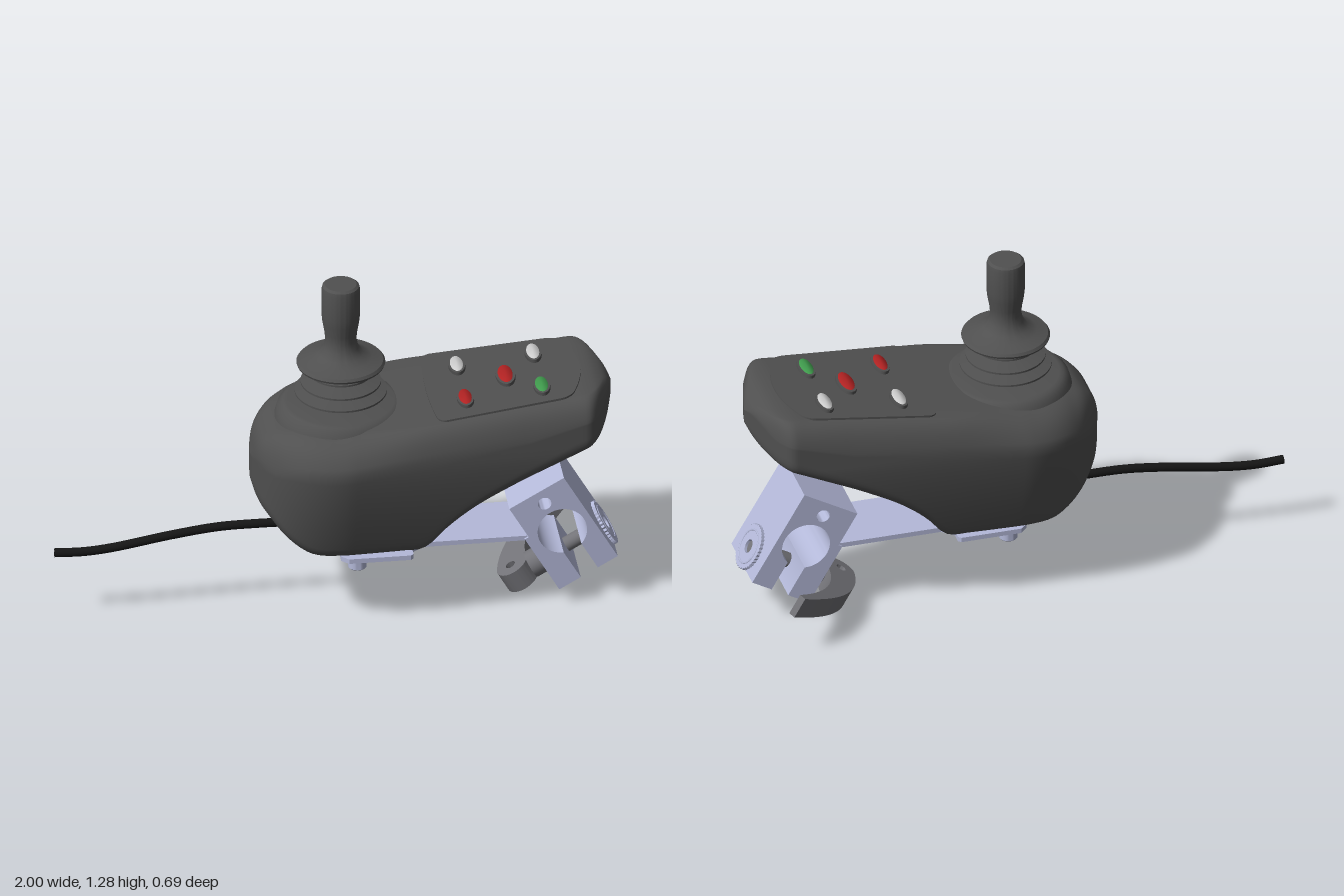
import * as THREE from 'three';
import { mergeVertices, toCreasedNormals } from 'three/addons/utils/BufferGeometryUtils.js';

const mat = (color, side = THREE.FrontSide) => new THREE.MeshStandardMaterial({ color, side });
const DARK = mat(0x505050), METAL = mat(0xb4b9d9), STEEL = mat(0x737378), BLACK = mat(0x161616);
const RED = mat(0xb02222), GREEN = mat(0x3f9a4c), WHITE = mat(0xbcbcbc);
const ZC = 0.02; // centre plane of the controller

function add(parent, name, geometry, material, x = 0, y = 0, z = 0) {
  const mesh = new THREE.Mesh(geometry, material);
  mesh.name = name;
  mesh.position.set(x, y, z);
  parent.add(mesh);
  return mesh;
}
const lathe = (pts, seg = 48) =>
  toCreasedNormals(new THREE.LatheGeometry(pts.map(p => new THREE.Vector2(...p)), seg), 0.6);
const extrude = (shape, depth) => toCreasedNormals(
  new THREE.ExtrudeGeometry(shape, { depth, bevelEnabled: false, curveSegments: 24 }), 0.5);
// extrusion lying flat: shape y becomes -z, depth becomes +y
const flat = (shape, depth) => extrude(shape, depth).rotateX(-Math.PI / 2);
const curve = pts => {
  const f = new THREE.CubicInterpolant(pts.map(p => p[0]), pts.map(p => p[1]), 1);
  return x => f.evaluate(x)[0];
};

// Housing: cross-sections lofted along x
const topY = curve([[-0.305, 0.63], [-0.29, 0.69], [-0.25, 0.745], [-0.18, 0.778], [0, 0.797],
  [0.4, 0.842], [0.8, 0.886], [0.87, 0.893], [0.92, 0.886], [0.96, 0.86], [0.978, 0.83]]);
const bottomY = curve([[-0.305, 0.53], [-0.29, 0.485], [-0.25, 0.43], [-0.2, 0.37], [-0.12, 0.308],
  [-0.08, 0.297], [-0.03, 0.296], [0.22, 0.296], [0.28, 0.298], [0.31, 0.32], [0.36, 0.385],
  [0.45, 0.47], [0.6, 0.565], [0.75, 0.64], [0.88, 0.7], [0.93, 0.722], [0.96, 0.746], [0.978, 0.78]]);
function halfWidth(x) {
  if (x < 0.02) return Math.sqrt(Math.max(0, 0.325 ** 2 - (x - 0.02) ** 2));
  if (x < 0.86) return THREE.MathUtils.mapLinear(x, 0.02, 0.86, 0.325, 0.272);
  return 0.272 * Math.max(0, 1 - ((x - 0.86) / 0.118) ** 2);
}
const taper = y => 1 - 0.31 * (Math.max(0, 0.7 - y) / 0.4) ** 1.5;

function section(x) {
  const W = halfWidth(x), T = topY(x), B = bottomY(x), H = T - B;
  const k = Math.min(1, W / 0.2);
  const bev = THREE.MathUtils.lerp(0.13, 0.07, THREE.MathUtils.smoothstep(x, -0.05, 0.3));
  const bx = Math.min(bev, W * 0.5), by = Math.min(0.11, H * 0.4) * k, r = Math.min(0.05, H * 0.3);
  const half = [];
  const line = (z0, y0, z1, y1, n) => {
    for (let i = 0; i < n; i++) half.push([z0 + (z1 - z0) * i / n, y0 + (y1 - y0) * i / n]);
  };
  const corner = (a, c, b, n) => {
    const q = new THREE.QuadraticBezierCurve(...[a, c, b].map(p => new THREE.Vector2(...p)));
    for (let i = 0; i < n; i++) half.push(q.getPoint(i / n).toArray());
  };
  const wAt = y => W * taper(y);
  const sideTop = T - by, sideBottom = B + r, wB = wAt(B);
  line(0, T, W - bx, T, 4);
  corner([W - bx, T], [W - bx * 0.25, T - by * 0.1], [wAt(sideTop), sideTop], 8);
  for (let i = 0; i < 10; i++) {
    const y = THREE.MathUtils.lerp(sideTop, sideBottom, i / 10);
    half.push([wAt(y), y]);
  }
  const inner = Math.max(wB - r, wB * 0.5);
  corner([wAt(sideBottom), sideBottom], [wB, B], [inner, B], 8);
  line(inner, B, 0, B, 4);
  half.push([0, B]);
  return [...half, ...half.slice(1, -1).reverse().map(([z, y]) => [-z, y])];
}
function housingGeometry() {
  const n = 90, pos = [], idx = [];
  let m = 0;
  for (let i = 0; i <= n; i++) {
    const x = 0.3365 - 0.6415 * Math.cos(Math.PI * i / n);
    const ring = section(x);
    m = ring.length;
    ring.forEach(([z, y]) => pos.push(x, y, z));
  }
  for (let i = 0; i < n; i++) for (let j = 0; j < m; j++) {
    const a = i * m + j, b = i * m + (j + 1) % m;
    idx.push(a, b, a + m, b, b + m, a + m);
  }
  const g = new THREE.BufferGeometry();
  g.setAttribute('position', new THREE.Float32BufferAttribute(pos, 3));
  g.setIndex(idx);
  const merged = mergeVertices(g, 1e-4);
  merged.computeVertexNormals();
  return merged;
}

// Keypad plate and oval buttons, lying on the sloped top
function keypad() {
  const g = new THREE.Group();
  g.name = 'keypad';
  g.position.set(0, 0.797, ZC);
  g.rotation.z = 0.111;
  const s = new THREE.Shape();
  s.moveTo(0.37, -0.238);
  s.lineTo(0.78, -0.215);
  s.quadraticCurveTo(0.82, -0.21, 0.835, -0.17);
  s.quadraticCurveTo(0.91, 0, 0.835, 0.17);
  s.quadraticCurveTo(0.82, 0.21, 0.78, 0.215);
  s.lineTo(0.37, 0.238);
  s.quadraticCurveTo(0.34, 0.238, 0.335, 0.2);
  s.quadraticCurveTo(0.31, 0, 0.335, -0.2);
  s.quadraticCurveTo(0.34, -0.238, 0.37, -0.238);
  add(g, 'keypadPlate', flat(s, 0.016), DARK, 0, -0.01, 0);
  const buttons = [[0.45, -0.12, WHITE, 1], [0.723, -0.12, WHITE, 1], [0.608, 0.003, RED, 1.15],
    [0.45, 0.115, RED, 1], [0.723, 0.115, GREEN, 1]];
  for (const [x, z, m, k] of buttons) {
    add(g, 'buttonRim', new THREE.CylinderGeometry(1, 1, 0.02, 40), DARK, x, 0.008, z).scale.set(0.03 * k, 1, 0.064 * k);
    add(g, 'button', lathe([[1, 0], [1, 0.014], [0.85, 0.019], [0, 0.021]], 40), m, x, 0.002, z).scale.set(0.024 * k, 1, 0.056 * k);
  }
  return g;
}

// Tilted tube clamp with screw, knurled nut and cam lever
function clamp() {
  const g = new THREE.Group();
  g.name = 'clamp';
  g.position.set(0.788, 0.305, 0.024);
  g.rotation.z = Math.PI / 6;
  const R = 0.088, D = 0.266, V = -0.13;
  const s = new THREE.Shape();
  s.moveTo(-0.112, -0.2);
  s.lineTo(-0.04, -0.2);
  s.lineTo(-0.04, -0.0784);
  s.absarc(0, 0, R, Math.atan2(-0.0784, -0.04), Math.atan2(-0.0827, 0.03), true);
  s.lineTo(0.03, -0.2);
  s.lineTo(0.112, -0.2);
  s.lineTo(0.112, 0.183);
  s.lineTo(-0.112, 0.183);
  s.closePath();
  s.holes.push(new THREE.Path().absarc(0.003, 0.131, 0.024, 0, Math.PI * 2, true));
  add(g, 'clampBlock', extrude(s, D), METAL, 0, 0, -D / 2);
  add(g, 'bracketFlap', new THREE.BoxGeometry(0.016, 0.245, D), METAL, -0.12, -0.0775, 0);
  const along = (name, r, u0, u1, m, seg = 32) => {
    add(g, name, new THREE.CylinderGeometry(r, r, u1 - u0, seg), m, (u0 + u1) / 2, V, 0).rotation.z = Math.PI / 2;
  };
  along('clampScrew', 0.027, -0.24, 0.114, STEEL);
  along('camWasher', 0.05, -0.185, -0.127, STEEL);

  // knurled nut with open centre
  const nut = new THREE.Shape();
  for (let i = 0; i < 72; i++) {
    const a = i / 72 * Math.PI * 2, r = i % 2 ? 0.08 : 0.085;
    nut[i ? 'lineTo' : 'moveTo'](r * Math.cos(a), r * Math.sin(a));
  }
  nut.closePath();
  nut.holes.push(new THREE.Path().absarc(0, 0, 0.025, 0, Math.PI * 2, true));
  add(g, 'knurledNut', extrude(nut, 0.02), METAL, 0.104, V, 0).rotation.y = Math.PI / 2;
  add(g, 'nutRidge', new THREE.TorusGeometry(0.062, 0.004, 8, 48), METAL, 0.123, V, 0).rotation.y = Math.PI / 2;

  // cam with pivot hole, running into the curved handle
  const cam = new THREE.Shape();
  cam.absarc(-0.24, 0, 0.06, Math.PI, Math.PI * 2, false);
  cam.quadraticCurveTo(-0.19, 0.2, 0.045, 0.35);
  cam.lineTo(0.03, 0.37);
  cam.quadraticCurveTo(-0.27, 0.22, -0.3, 0);
  cam.holes.push(new THREE.Path().absarc(-0.245, 0, 0.018, 0, Math.PI * 2, true));
  add(g, 'camLever', flat(cam, 0.08), STEEL, 0, V - 0.04, 0);
  return g;
}

export function createModel() {
  const model = new THREE.Group();
  model.name = 'joystickController';
  add(model, 'housing', housingGeometry(), DARK, 0, 0, ZC);
  model.add(keypad());

  // Joystick: raised collar, bellows and flared knob
  const stick = new THREE.Group();
  stick.name = 'joystick';
  stick.position.set(0.018, 0, 0.022);
  model.add(stick);
  add(stick, 'collar', lathe([[0.235, 0.765], [0.225, 0.8], [0.205, 0.819], [0.19, 0.822], [0, 0.822]], 64), DARK);
  add(stick, 'bellows', lathe([[0.1, 0.815], [0.1, 0.838], [0.163, 0.858], [0.163, 0.865], [0.075, 0.882],
    [0.142, 0.895], [0.142, 0.902], [0.065, 0.919], [0.112, 0.933], [0.112, 0.94], [0.055, 0.956], [0.055, 0.975]], 64), DARK);
  add(stick, 'knob', lathe([[0, 0.966], [0.14, 0.965], [0.154, 0.969], [0.157, 0.977], [0.15, 0.986],
    [0.11, 0.998], [0.08, 1.013], [0.062, 1.037], [0.055, 1.07], [0.058, 1.1], [0.065, 1.14],
    [0.068, 1.17], [0.068, 1.27], [0.065, 1.283], [0.056, 1.29], [0, 1.29]], 64), DARK);

  // Cable with its entry sleeve
  const path = new THREE.CatmullRomCurve3([[-1, 0.273], [-0.9, 0.27], [-0.8, 0.278], [-0.58, 0.315],
    [-0.42, 0.335], [-0.28, 0.338], [-0.1, 0.335]].map(([x, y]) => new THREE.Vector3(x, y, ZC)));
  add(model, 'cable', new THREE.TubeGeometry(path, 60, 0.016, 16), BLACK);
  add(model, 'cableEnd', new THREE.CircleGeometry(0.016, 16), BLACK, -1, 0.273, ZC).rotation.y = -Math.PI / 2;
  add(model, 'cableSleeve', new THREE.CylinderGeometry(0.025, 0.025, 0.09, 24), BLACK, -0.145, 0.335, ZC).rotation.z = Math.PI / 2;

  // Mounting plate, narrowing towards the clamp
  const plate = new THREE.Shape();
  plate.moveTo(0.02, -0.21);
  [[0.24, -0.21], [0.25, -0.2], [0.25, -0.16], [0.29, -0.125], [0.665, -0.125], [0.665, 0.125], [0.29, 0.125],
    [0.25, 0.16], [0.25, 0.2], [0.24, 0.21], [0.02, 0.21], [-0.005, 0.185], [-0.005, -0.185]]
    .forEach(p => plate.lineTo(...p));
  plate.closePath();
  add(model, 'mountingPlate', flat(plate, 0.018), METAL, 0, 0.272, 0.024);
  for (const side of [-1, 1]) {
    add(model, 'plateBolt', lathe([[0, 0.25], [0.016, 0.25], [0.016, 0.232], [0.029, 0.232], [0.033, 0.236],
      [0.033, 0.274], [0, 0.274]], 32), METAL, 0.055, 0, 0.024 + side * 0.163);
  }

  model.add(clamp());
  return model;
}
